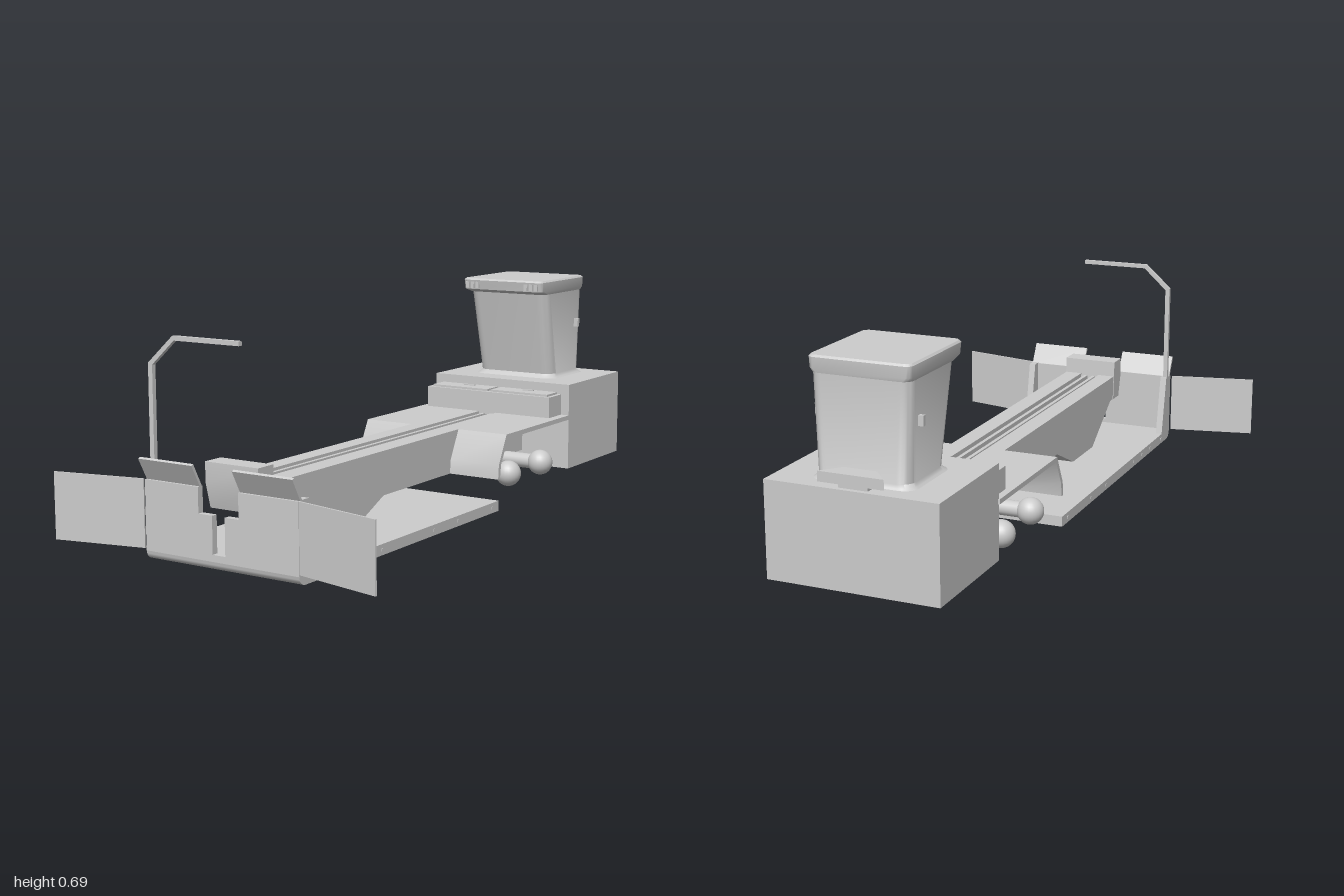
import * as THREE from 'three';
import { toCreasedNormals } from 'three/addons/utils/BufferGeometryUtils.js';

const grey = new THREE.MeshStandardMaterial({ color: 0xcccccc });
grey.name = 'light grey';

const X0 = -0.262, X1 = 0.272, MID = 0.005; // overall width of chassis and its middle

export function createModel() {
  const model = new THREE.Group();
  model.name = 'trackMachine';

  const add = (name, geometry, x = 0, y = 0, z = 0) => {
    const mesh = new THREE.Mesh(geometry, grey);
    mesh.name = name;
    mesh.position.set(x, y, z);
    model.add(mesh);
    return mesh;
  };
  // box given by its limits
  const box = (name, x0, x1, y0, y1, z0, z1) =>
    add(name, new THREE.BoxGeometry(x1 - x0, y1 - y0, z1 - z0), (x0 + x1) / 2, (y0 + y1) / 2, (z0 + z1) / 2);
  const shapeOf = (points) => new THREE.Shape(points.map(([a, b]) => new THREE.Vector2(a, b)));
  // side profile in (z, y), extruded from x0 to x1
  const sideExtrude = (name, shape, x0, x1) => {
    const g = new THREE.ExtrudeGeometry(shape, { depth: x1 - x0, bevelEnabled: false, curveSegments: 8 });
    g.rotateY(-Math.PI / 2);
    return add(name, toCreasedNormals(g, 0.6), x1);
  };
  // front profile in (x, y), extruded from z0 to z1
  const frontExtrude = (name, points, z0, z1) =>
    add(name, new THREE.ExtrudeGeometry(shapeOf(points), { depth: z1 - z0, bevelEnabled: false }), 0, 0, z0);

  // low platform with a rounded front edge
  const deck = new THREE.Shape();
  deck.moveTo(-0.135, 0.003);
  deck.lineTo(0.905, 0.003);
  deck.quadraticCurveTo(0.937, 0.003, 0.937, 0.036);
  deck.lineTo(-0.135, 0.036);
  sideExtrude('platform', deck, X0, X1);
  for (const z of [0.84, 0.72, 0.63, 0.54, 0.26, 0.12, -0.09]) {
    for (const x of [X0, X1]) box('platformBolt', x - 0.002, x + 0.002, 0.016, 0.024, z - 0.004, z + 0.004);
  }

  // front wall with the stepped opening
  frontExtrude('frontWall', [
    [X0, 0.03], [X1, 0.03], [X1, 0.235], [0.07, 0.235], [0.07, 0.16], [0.022, 0.16], [0.022, 0.05],
    [-0.022, 0.05], [-0.022, 0.16], [-0.07, 0.16], [-0.07, 0.235], [X0, 0.235],
  ], 0.917, 0.937);
  const gusset = shapeOf([[0.85, 0.03], [0.92, 0.03], [0.92, 0.237], [0.89, 0.237]]);
  sideExtrude('leftGusset', gusset, X1 - 0.022, X1);
  sideExtrude('rightGusset', gusset, X0, X0 + 0.022);

  // tilted flaps over the wall and swept side wings
  const flap = shapeOf([[0.918, 0.232], [0.927, 0.232], [0.963, 0.298], [0.955, 0.302]]);
  sideExtrude('leftFlap', flap, 0.07, X1);
  sideExtrude('rightFlap', flap, X0, -0.07);
  for (const s of [1, -1]) {
    const wing = add(s > 0 ? 'leftWing' : 'rightWing',
      new THREE.BoxGeometry(Math.hypot(0.285, 0.062), 0.2, 0.006), s * 0.412, 0.135, 0.963);
    wing.rotation.y = -s * Math.atan2(0.062, 0.285);
  }

  // bent overhead pole
  frontExtrude('pole', [
    [-0.262, 0.03], [-0.247, 0.03], [-0.247, 0.557], [-0.167, 0.63], [0.06, 0.63],
    [0.06, 0.643], [-0.172, 0.643], [-0.262, 0.562],
  ], 0.898, 0.912);

  // central beam: two cheeks with a lower channel and rails between them
  const beam = (top) => shapeOf([
    [-0.62, 0.105], [0.26, 0.105], [0.41, 0.036], [0.6, 0.036], [0.78, 0.16], [0.86, 0.16],
    [0.86, top - 0.01], [0.85, top], [-0.62, top],
  ]);
  sideExtrude('beamLeftCheek', beam(0.243), 0.036, 0.093);
  sideExtrude('beamRightCheek', beam(0.243), -0.088, -0.03);
  sideExtrude('beamChannel', beam(0.222), -0.03, 0.036);
  for (const x of [-0.012, 0.018]) box('rail', x - 0.006, x + 0.006, 0.22, 0.238, -0.53, 0.82);
  sideExtrude('beamEndBlock', shapeOf([
    [0.805, 0.16], [0.86, 0.16], [0.88, 0.235], [0.88, 0.295], [0.812, 0.295],
  ]), -0.09, 0.095);

  // bent fender plates on both sides of the beam
  const fender = shapeOf([
    [-0.62, 0.228], [-0.19, 0.228], [-0.148, 0.15], [-0.142, 0.105], [-0.13, 0.105],
    [-0.134, 0.15], [-0.182, 0.243], [-0.62, 0.243],
  ]);
  sideExtrude('leftFender', fender, 0.093, X1);
  sideExtrude('rightFender', fender, X0, -0.088);

  // axles with ball wheels
  for (const z of [-0.28, -0.5]) {
    const axle = new THREE.CylinderGeometry(0.025, 0.025, 0.44, 20);
    axle.rotateZ(Math.PI / 2);
    add('axle', axle, MID, 0.095, z);
    for (const s of [1, -1]) add('wheel', new THREE.SphereGeometry(0.042, 24, 16), MID + s * 0.22, 0.095, z);
  }

  // rear body and the step in front of it
  box('rearBody', -0.257, X1, 0.058, 0.348, -1, -0.615);
  box('step', -0.24, 0.242, 0.235, 0.313, -0.62, -0.528);
  for (const [x0, x1] of [[-0.225, -0.005], [0.008, 0.228]]) {
    box('stepTread', x0, x1, 0.31, 0.32, -0.612, -0.54);
    box('treadGrip', x0 + 0.1, x0 + 0.14, 0.319, 0.323, -0.595, -0.585);
  }

  // tower: lofted rounded rectangles, each [y, front z, back z, half width, corner radius]
  const loft = (name, sections) => {
    const pos = [], idx = [], n = 28;
    for (const [y, zf, zb, w, r] of sections) {
      for (let q = 0; q < 4; q++) {
        for (let k = 0; k < 7; k++) {
          const a = (q + k / 6) * Math.PI / 2;
          const cx = (q === 0 || q === 3 ? 1 : -1) * (w - r);
          const cz = q < 2 ? zb + r : zf - r;
          pos.push(cx + r * Math.cos(a), y, cz - r * Math.sin(a));
        }
      }
    }
    const last = sections.length - 1;
    for (let s = 0; s < last; s++) {
      for (let i = 0; i < n; i++) {
        const j = (i + 1) % n, a = s * n, b = a + n;
        idx.push(a + i, a + j, b + j, a + i, b + j, b + i);
      }
    }
    for (let i = 1; i < n - 1; i++) idx.push(0, i + 1, i, last * n, last * n + i, last * n + i + 1);
    const g = new THREE.BufferGeometry();
    g.setAttribute('position', new THREE.Float32BufferAttribute(pos, 3));
    g.setIndex(idx);
    return add(name, toCreasedNormals(g, 0.7), MID);
  };
  loft('towerBody', [
    [0.345, -0.695, -0.95, 0.163, 0.04], [0.352, -0.705, -0.943, 0.152, 0.04],
    [0.362, -0.712, -0.938, 0.145, 0.04], [0.655, -0.652, -0.94, 0.151, 0.035],
  ]);
  loft('towerCap', [
    [0.645, -0.645, -0.94, 0.151, 0.03], [0.656, -0.618, -0.941, 0.154, 0.02],
    [0.688, -0.612, -0.943, 0.155, 0.02], [0.694, -0.617, -0.938, 0.15, 0.02],
  ]);
  for (const s of [1, -1]) {
    box('sideLatch', MID + s * 0.155 - 0.009, MID + s * 0.155 + 0.009, 0.515, 0.545, -0.888, -0.876);
    for (const d of [0.095, 0.115, 0.135]) {
      box('capVent', MID + s * d - 0.006, MID + s * d + 0.006, 0.66, 0.682, -0.62, -0.611);
    }
  }

  // bracket behind the tower
  const bracket = new THREE.ExtrudeGeometry(
    shapeOf([[-0.095, 0.998], [-0.045, 0.94], [0.055, 0.94], [0.105, 0.998]]),
    { depth: 0.03, bevelEnabled: false });
  bracket.rotateX(-Math.PI / 2);
  add('rearBracket', bracket, 0, 0.362, 0);
  box('rearBracketFoot', -0.04, 0.05, 0.345, 0.365, -0.985, -0.93);

  return model;
}
